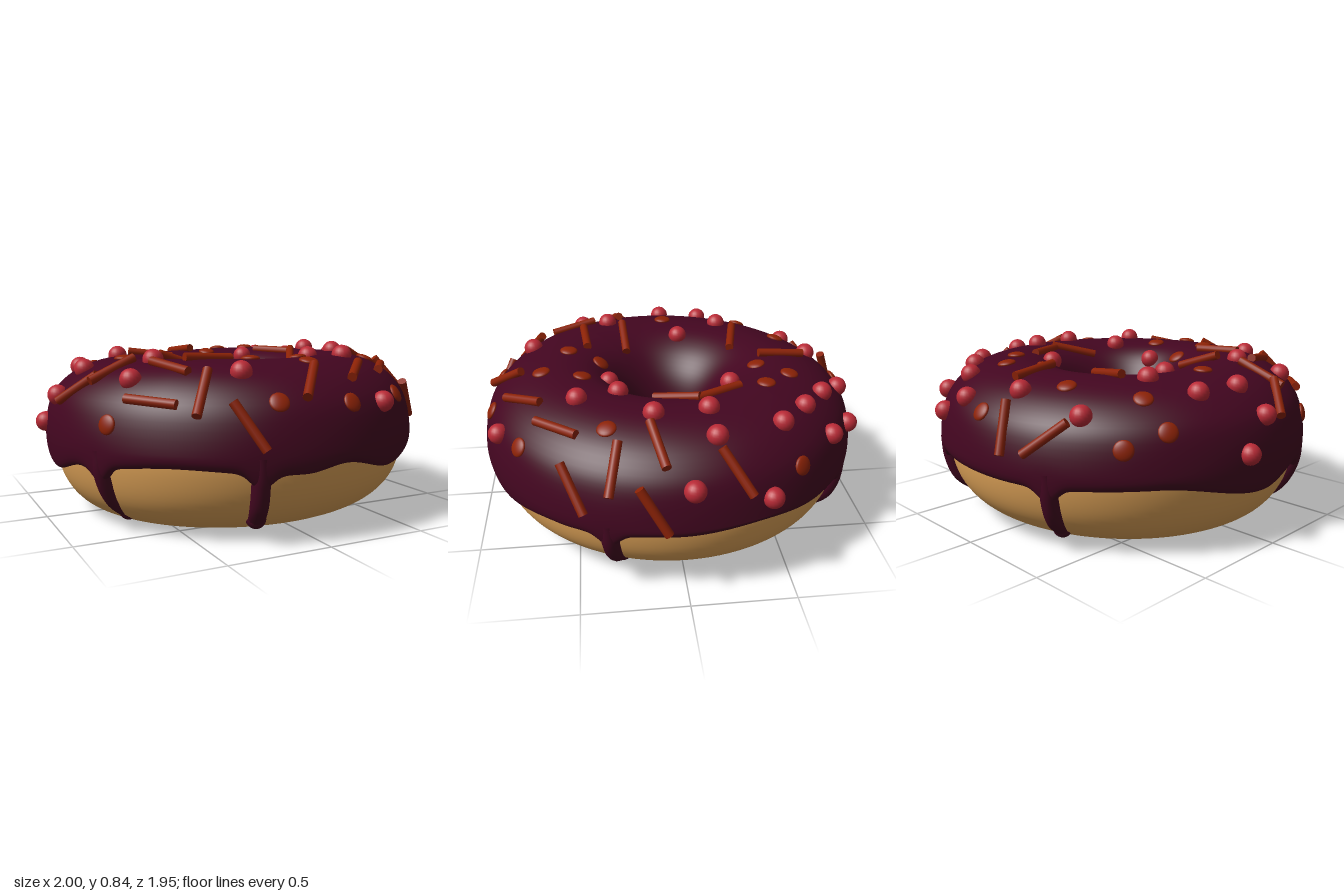
import * as THREE from 'three';

const mat = (name, color) => Object.assign(new THREE.MeshStandardMaterial({ color }), { name });
const doughMat = mat('dough', 0xdfa358);
const glazeMat = mat('glaze', 0x430620);
const pearlMat = mat('pearl', 0xb92a36);
const sprinkleMat = mat('sprinkle', 0x8c2206);

// Drips: angle (0 = front, growing towards +x), radius and height of the lower end
const DRIPS = [[-0.31, 0.81, 0.085], [1.185, 0.77, 0.075], [2.62, 0.8, 0.09], [3.58, 0.79, 0.08], [5.165, 0.765, 0.08]];
// Height of the glaze's outer edge at some angles
const EDGE = [[-1.57, 0.25], [-1.25, 0.31], [-0.7, 0.35], [-0.1, 0.32], [0.12, 0.35], [0.48, 0.29],
  [0.9, 0.33], [1.5, 0.36], [1.9, 0.38], [2.3, 0.35], [2.9, 0.34], [3.5, 0.33], [4.1, 0.34], [4.713, 0.25]];
// Glaze section (r, y) from the outer side over the top into the hole
const TOP = [[0.968, 0.41], [0.945, 0.545], [0.905, 0.63], [0.815, 0.715], [0.69, 0.768], [0.55, 0.785],
  [0.42, 0.762], [0.32, 0.705], [0.245, 0.61], [0.2, 0.5], [0.188, 0.42], [0.197, 0.34], [0.23, 0.28]];
const DOUGH = [[0.55, 0.0], [0.7, 0.012], [0.8, 0.06], [0.868, 0.14], [0.912, 0.26], [0.925, 0.4], [0.88, 0.53],
  [0.76, 0.64], [0.55, 0.69], [0.36, 0.63], [0.25, 0.52], [0.213, 0.4], [0.236, 0.27], [0.3, 0.13], [0.42, 0.035]];

const curve = (pts, closed = false) =>
  new THREE.CatmullRomCurve3(pts.map(([r, y]) => new THREE.Vector3(r, y, 0)), closed);

// Turns a section point to its angle, with the slight unevenness of a hand-made ring
function turn(r, y, a) {
  const hole = 1 - THREE.MathUtils.smoothstep(r, 0.2, 0.45);
  const low = 1 - THREE.MathUtils.smoothstep(y, 0.03, 0.3);
  const high = THREE.MathUtils.smoothstep(y, 0.5, 0.75);
  const r2 = r + hole * (0.015 * Math.sin(a) + 0.005 * Math.cos(a) + 0.004 + 0.01 * Math.cos(2 * a));
  const y2 = y + low * 0.021 * (1 + Math.sin(a)) - high * 0.024 * Math.max(0, Math.cos(a - 3.93));
  return new THREE.Vector3(r2 * Math.sin(a), y2, r2 * Math.cos(a));
}

// Ring-shaped surface whose section may change with the angle
function ring(section, segs) {
  const pos = [], idx = [];
  let n = 0;
  for (let i = 0; i < segs; i++) {
    const a = (i / segs) * Math.PI * 2;
    const pts = section(a);
    n = pts.length;
    for (const p of pts) pos.push(...turn(p.x, p.y, a).toArray());
  }
  for (let i = 0; i < segs; i++) {
    for (let j = 0; j < n - 1; j++) {
      const a = i * n + j, b = ((i + 1) % segs) * n + j;
      idx.push(a, b, a + 1, b, b + 1, a + 1);
    }
  }
  const g = new THREE.BufferGeometry();
  g.setAttribute('position', new THREE.Float32BufferAttribute(pos, 3));
  g.setIndex(idx);
  g.computeVertexNormals();
  return g;
}

function edgeHeight(angle) {
  const a = angle > 4.713 ? angle - Math.PI * 2 : angle;
  let k = 0;
  while (k < EDGE.length - 2 && a > EDGE[k + 1][0]) k++;
  const t = THREE.MathUtils.smoothstep(a, EDGE[k][0], EDGE[k + 1][0]);
  let y = THREE.MathUtils.lerp(EDGE[k][1], EDGE[k + 1][1], t);
  // Widen the glaze where a drip starts
  for (const [d] of DRIPS) {
    const diff = Math.atan2(Math.sin(angle - d), Math.cos(angle - d));
    y -= 0.07 * Math.exp(-((diff / 0.065) ** 2));
  }
  return y;
}

function glazeSection(a) {
  const e = edgeHeight(a);
  const r = 0.912 + (e - 0.26) * 0.12;
  const lip = [[r - 0.02, e + 0.005], [r + 0.022, e - 0.003], [r + 0.042, e + 0.022]];
  return curve([...lip, ...TOP]).getPoints(56);
}

// Point and outward normal on the upper glaze at a given x, z
const topLine = curve(TOP).getPoints(120);
function onGlaze(x, z) {
  const r = Math.min(Math.hypot(x, z), 0.9675), a = Math.atan2(x, z);
  let k = 1;
  while (k < topLine.length - 2 && topLine[k].x > r) k++;
  const p = topLine[k - 1], q = topLine[k];
  const y = THREE.MathUtils.lerp(p.y, q.y, THREE.MathUtils.clamp((p.x - r) / (p.x - q.x), 0, 1));
  const nr = q.y - p.y, ny = p.x - q.x;
  return {
    point: turn(r, y, a),
    normal: new THREE.Vector3(nr * Math.sin(a), ny, nr * Math.cos(a)).normalize(),
  };
}

const PEARLS = [[0.16, -0.87], [0.365, -0.87], [-0.14, -0.78], [-0.49, -0.73], [0.34, -0.73], [0.565, -0.725],
  [0.5, -0.6], [0.64, -0.46], [0.88, -0.375], [-0.51, -0.34], [-0.74, -0.26], [0.24, -0.29], [-0.95, -0.15],
  [-0.92, 0], [-0.78, -0.03], [-0.4, -0.1], [0.57, -0.13], [0.75, -0.14], [0.93, -0.02], [0.59, 0.125],
  [-0.54, 0.295], [0.085, 0.305], [0.335, 0.275], [-0.7, 0.44], [0.41, 0.47], [-0.29, 0.71], [0.37, 0.85]];
const DISCS = [[-0.01, -0.91], [-0.305, -0.65], [-0.625, -0.49], [-0.78, -0.5], [0.225, -0.595], [0.085, -0.455],
  [0.34, -0.45], [-0.58, -0.03], [0.77, -0.53], [-0.085, 0.345], [-0.14, 0.515], [0.16, 0.445], [0.095, 0.65],
  [0.655, 0.34], [0.535, 0.745], [-0.2, 0.885], [0.16, 0.905], [-0.825, 0.475], [-0.68, -0.665]];
// Rods by their two ends: x, z, x, z
const RODS = [[-0.485, -0.79, -0.305, -0.92], [-0.21, -0.96, -0.16, -0.87], [-0.035, -0.73, -0.01, -0.49],
  [-0.42, -0.42, -0.18, -0.365], [0.345, -0.32, 0.45, -0.095], [0.33, 0.1, 0.465, -0.105],
  [0.665, 0.15, 0.89, 0.095], [-0.48, 0.215, -0.245, 0.205], [-0.835, 0.26, -0.61, 0.225],
  [-0.94, 0.09, -0.795, 0.25], [-0.44, 0.435, -0.19, 0.415], [-0.575, 0.37, -0.495, 0.605],
  [-0.755, 0.515, -0.59, 0.71], [-0.55, 0.8, -0.42, 0.66], [-0.39, 0.835, -0.29, 0.935],
  [-0.09, 0.92, 0.065, 0.745], [0.215, 0.82, 0.385, 0.64], [0.485, 0.665, 0.655, 0.47],
  [0.73, 0.55, 0.87, 0.455], [0.735, 0.29, 0.92, 0.35], [0.825, -0.13, 0.93, -0.29], [0.895, 0.21, 0.99, 0.1]];

export function createModel() {
  const model = new THREE.Group();
  model.name = 'doughnut';
  const add = (parent, name, geo, material) => {
    const m = new THREE.Mesh(geo, material);
    m.name = name;
    parent.add(m);
    return m;
  };
  const group = (name) => {
    const g = new THREE.Group();
    g.name = name;
    model.add(g);
    return g;
  };

  // Body and glaze
  const doughPts = curve(DOUGH, true).getPoints(70);
  add(model, 'dough', ring(() => doughPts, 128), doughMat);
  add(model, 'glaze', ring(glazeSection, 400), glazeMat);

  // Drips running down the side, each with a rounded end
  const drips = group('drips');
  for (const [a, r, y] of DRIPS) {
    const line = [[0.93, 0.4], [0.92, 0.28], [(0.91 + r) / 2 + 0.025, (0.26 + y) / 2 - 0.01], [r, y]];
    const path = new THREE.CatmullRomCurve3(line.map(([pr, py]) => turn(pr, py, a)));
    add(drips, 'dripStem', new THREE.TubeGeometry(path, 20, 0.042, 14), glazeMat);
    add(drips, 'dripEnd', new THREE.SphereGeometry(0.047, 20, 14), glazeMat).position.copy(path.getPoint(1));
  }

  // Round pearls
  const up = new THREE.Vector3(0, 1, 0);
  const pearls = group('pearls');
  const pearlGeo = new THREE.SphereGeometry(0.05, 20, 14);
  for (const [x, z] of PEARLS) {
    const { point, normal } = onGlaze(x, z);
    add(pearls, 'pearl', pearlGeo, pearlMat).position.copy(point).addScaledVector(normal, 0.006);
  }

  // Flat discs
  const discs = group('discs');
  const discGeo = new THREE.SphereGeometry(0.046, 20, 12).scale(1, 0.36, 1);
  for (const [x, z] of DISCS) {
    const { point, normal } = onGlaze(x, z);
    const d = add(discs, 'disc', discGeo, sprinkleMat);
    d.position.copy(point).addScaledVector(normal, 0.002);
    d.quaternion.setFromUnitVectors(up, normal);
  }

  // Rods lying along the glaze
  const rods = group('rods');
  const rodGeo = new THREE.CylinderGeometry(0.022, 0.022, 0.25, 14);
  for (const [x0, z0, x1, z1] of RODS) {
    const { point, normal } = onGlaze((x0 + x1) / 2, (z0 + z1) / 2);
    const dir = onGlaze(x1, z1).point.sub(onGlaze(x0, z0).point);
    dir.addScaledVector(normal, -dir.dot(normal)).normalize();
    const rod = add(rods, 'rod', rodGeo, sprinkleMat);
    rod.position.copy(point).addScaledVector(normal, 0.007);
    rod.quaternion.setFromUnitVectors(up, dir);
  }
  return model;
}
